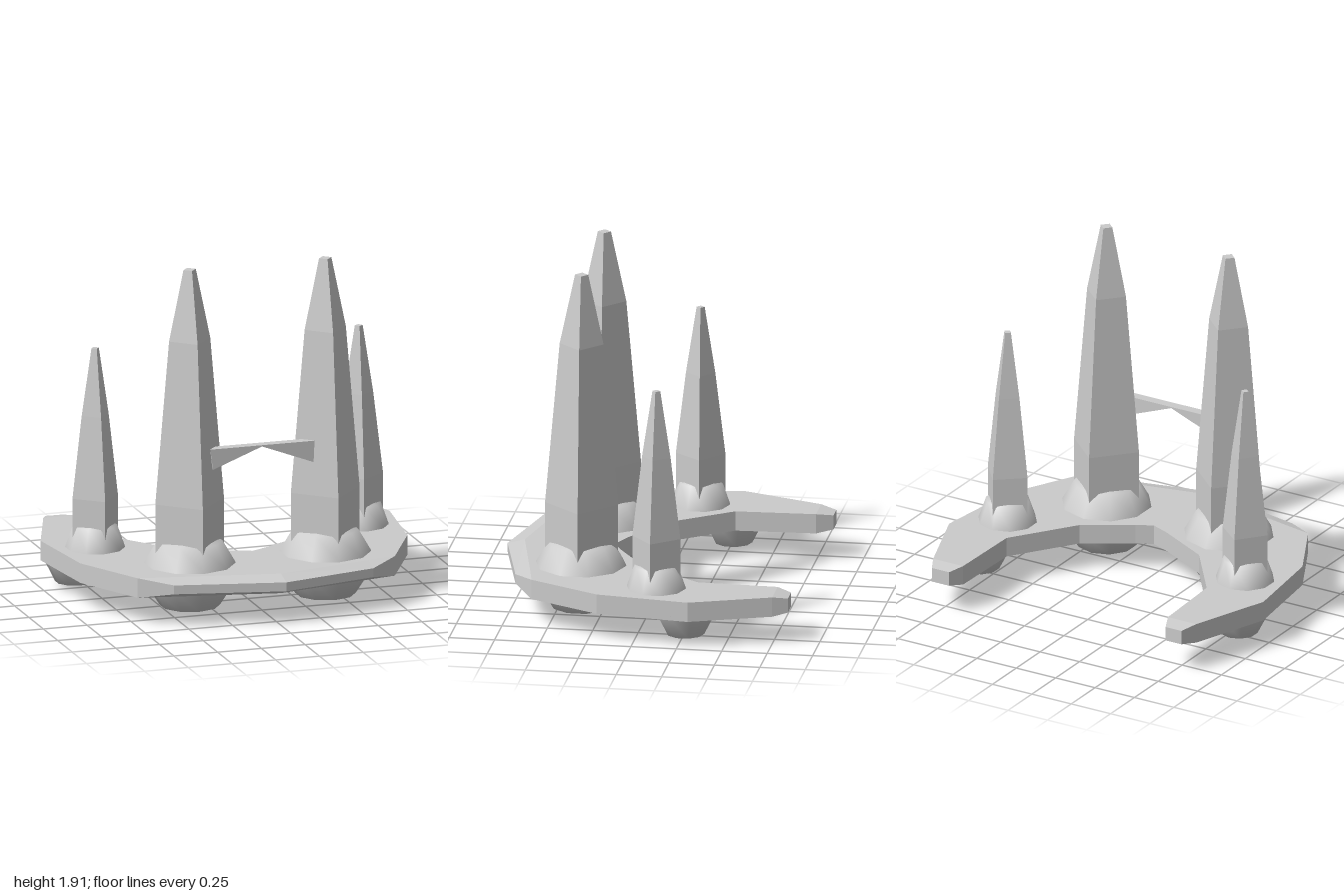
import * as THREE from 'three';

const flat = new THREE.MeshStandardMaterial({ color: 0xcccccc, flatShading: true });
const smooth = new THREE.MeshStandardMaterial({ color: 0xcccccc });

// Revolved part: profile is a list of [radius, y] from bottom to top
function revolve(name, profile, sides, x, z, material, turn = 0) {
  let geo = new THREE.LatheGeometry(profile.map(([r, y]) => new THREE.Vector2(r, y)), sides);
  if (material.flatShading) {
    geo = geo.toNonIndexed();
    geo.computeVertexNormals();
  }
  const mesh = new THREE.Mesh(geo, material);
  mesh.name = name;
  mesh.position.set(x, 0, z);
  mesh.rotation.y = turn;
  return mesh;
}

// Crescent plate: cross-sections swept from the right arm tip round to the left one
function crescentPlate() {
  const Y0 = 0.165, Y1 = 0.275;
  // inner x,z | ridge x,z | outer x,z | ridge low, high | rim low, high
  const stations = [
    [-0.70, -0.84, -0.80, -0.84, -0.80, -0.84, 0.18, 0.26, 0.18, 0.26],
    [-0.66, -0.75, -0.84, -0.75, -0.84, -0.75, Y0, Y1, Y0, Y1],
    [-0.64, -0.31, -1.00, -0.31, -1.00, -0.31, Y0, Y1, Y0, Y1],
    [-0.38, 0.04, -0.94, 0.20, -0.94, 0.20, Y0, Y1, Y0, Y1],
    [-0.23, 0.12, -0.74, 0.59, -0.74, 0.59, Y0, Y1, Y0, Y1],
    [-0.08, 0.20, -0.57, 0.623, -0.57, 0.705, Y0, Y1, 0.20, 0.25],
    [0.03, 0.245, 0.03, 0.74, 0.03, 0.835, Y0, Y1, 0.20, 0.25],
    [0.12, 0.20, 0.57, 0.623, 0.57, 0.705, Y0, Y1, 0.20, 0.25],
    [0.24, 0.125, 0.73, 0.59, 0.73, 0.59, Y0, Y1, Y0, Y1],
    [0.38, 0.04, 0.93, 0.20, 0.93, 0.20, Y0, Y1, Y0, Y1],
    [0.63, -0.31, 0.995, -0.31, 0.995, -0.31, Y0, Y1, Y0, Y1],
    [0.64, -0.75, 0.83, -0.75, 0.83, -0.75, Y0, Y1, Y0, Y1],
    [0.68, -0.83, 0.79, -0.83, 0.79, -0.83, 0.18, 0.26, 0.18, 0.26],
  ];
  const pos = [], idx = [], N = 6;
  for (const [ix, iz, rx, rz, ox, oz, lo, hi, rimLo, rimHi] of stations) {
    pos.push(ix, lo, iz, ix, hi, iz, rx, hi, rz, ox, rimHi, oz, ox, rimLo, oz, rx, lo, rz);
  }
  for (let s = 0; s < stations.length - 1; s++) {
    for (let k = 0; k < N; k++) {
      const a = s * N + k, b = s * N + (k + 1) % N;
      idx.push(a, b, b + N, a, b + N, a + N);
    }
  }
  // Arm tip caps
  const e = (stations.length - 1) * N;
  for (let k = 1; k < N - 1; k++) idx.push(0, k + 1, k, e, e + k, e + k + 1);
  let geo = new THREE.BufferGeometry();
  geo.setAttribute('position', new THREE.Float32BufferAttribute(pos, 3));
  geo.setIndex(idx);
  geo = geo.toNonIndexed();
  geo.computeVertexNormals();
  const mesh = new THREE.Mesh(geo, flat);
  mesh.name = 'crescentPlate';
  return mesh;
}

// Bow-shaped bridge between the tall spires
function bridge() {
  const outline = [[-0.28, 0.925], [-0.265, 0.81], [0.015, 0.918], [0.31, 0.805], [0.315, 0.925]];
  const shape = new THREE.Shape(outline.map(([x, y]) => new THREE.Vector2(x, y)));
  const geo = new THREE.ExtrudeGeometry(shape, { depth: 0.055, bevelEnabled: false });
  const mesh = new THREE.Mesh(geo, flat);
  mesh.name = 'bridge';
  mesh.position.z = 0.4;
  return mesh;
}

export function createModel() {
  const model = new THREE.Group();
  model.name = 'spiredPlatform';
  model.add(crescentPlate(), bridge());

  const tallSpire = [[0.2, 0.22], [0.2, 0.62], [0.12, 1.53], [0.036, 1.925], [0, 1.925]];
  const shortSpire = [[0.135, 0.22], [0.135, 0.56], [0.08, 1.02], [0.022, 1.395], [0, 1.395]];
  const bigTop = [[0.258, 0.22], [0.248, 0.28], [0.178, 0.4], [0, 0.435]];
  const bigBottom = [[0, 0.01], [0.165, 0.04], [0.245, 0.165], [0.258, 0.22]];
  const smallTop = [[0.172, 0.22], [0.162, 0.28], [0.12, 0.4], [0, 0.43]];
  const smallBottom = [[0, 0.02], [0.105, 0.045], [0.165, 0.165], [0.172, 0.19]];

  for (const [side, tallX, shortX, turn] of [['right', -0.37, -0.757, 0.1], ['left', 0.405, 0.75, -0.1]]) {
    // Tall spire with its domes above and below the plate
    model.add(revolve(side + 'TallSpire', tallSpire, 4, tallX, 0.367, flat, 0.05));
    model.add(revolve(side + 'TallSpireCollar', bigTop, 10, tallX, 0.37, smooth));
    model.add(revolve(side + 'FrontUnderDome', bigBottom, 10, tallX, 0.37, smooth));
    // Short spire; the dome below sits further back and out
    model.add(revolve(side + 'ShortSpire', shortSpire, 4, shortX, -0.1, flat, turn));
    model.add(revolve(side + 'ShortSpireCollar', smallTop, 10, shortX, -0.1, smooth));
    model.add(revolve(side + 'RearUnderDome', smallBottom, 10, Math.sign(tallX) * 0.82, -0.27, smooth));
  }
  return model;
}
